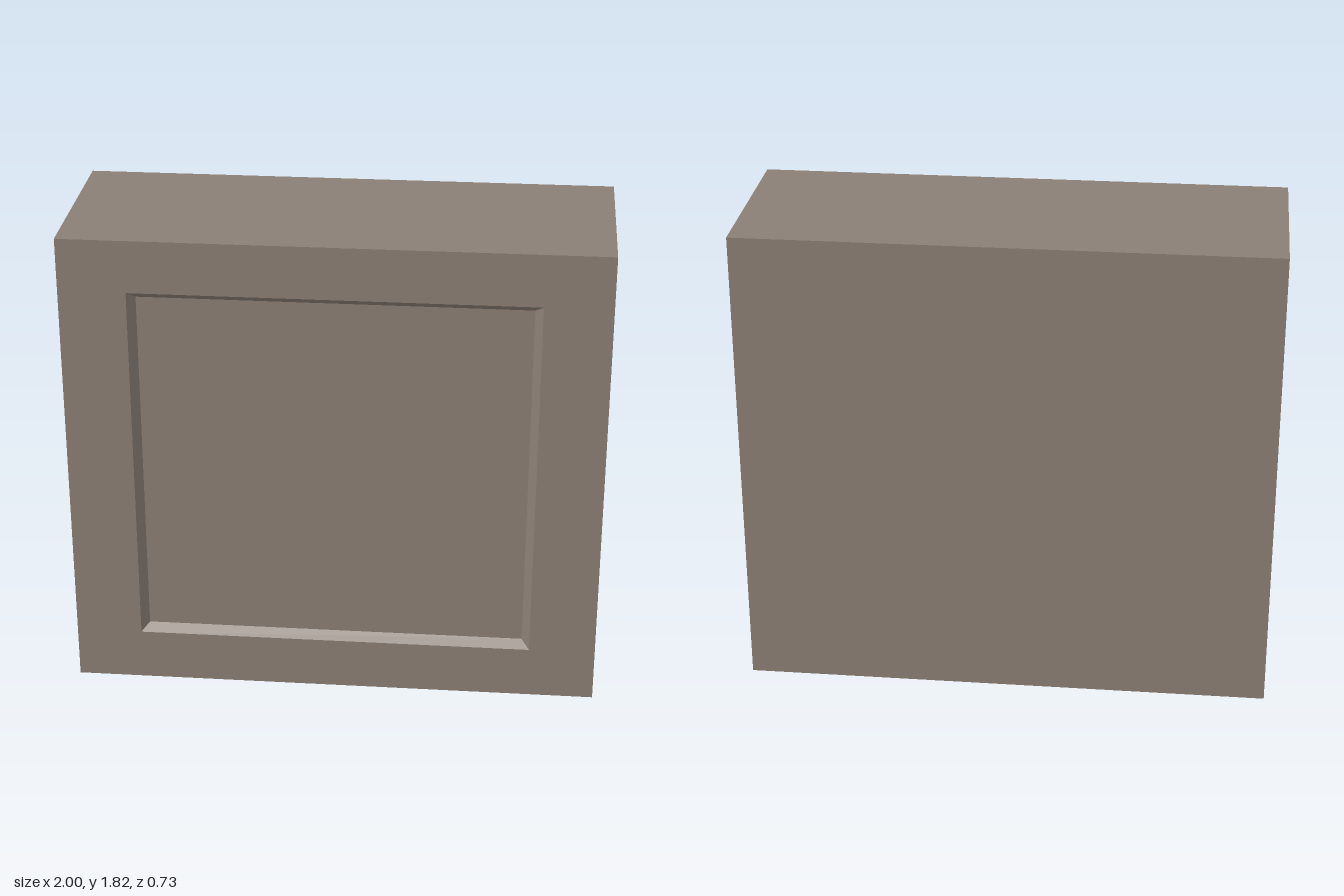
import * as THREE from 'three';

// Rectangular loop of corners, counter-clockwise seen from the front
const loop = (halfW, y0, y1, z) => [[-halfW, y0, z], [halfW, y0, z], [halfW, y1, z], [-halfW, y1, z]];

// Four quads joining one loop to the next
const bridge = (a, b) => a.map((p, i) => [p, a[(i + 1) % 4], b[(i + 1) % 4], b[i]]);

function quadMesh(name, quads, material) {
  const positions = quads.flatMap(([a, b, c, d]) => [a, b, c, a, c, d]).flat();
  const geometry = new THREE.BufferGeometry();
  geometry.setAttribute('position', new THREE.Float32BufferAttribute(positions, 3));
  geometry.computeVertexNormals();
  const mesh = new THREE.Mesh(geometry, material);
  mesh.name = name;
  return mesh;
}

export function createModel() {
  const group = new THREE.Group();
  group.name = 'panelledBlock';
  const material = new THREE.MeshStandardMaterial({ color: 0x8b7f75 });

  const height = 1.82, halfDepth = 0.364, recess = 0.03;
  const back = loop(1, 0, height, -halfDepth);
  const front = loop(1, 0, height, halfDepth);
  const rim = loop(0.75, 0.2, 1.62, halfDepth);
  const floor = loop(0.72, 0.23, 1.595, halfDepth - recess);

  // Back, four sides and the flat border around the front recess
  group.add(quadMesh('body', [[...back].reverse(), ...bridge(back, front), ...bridge(front, rim)], material));
  // Sloped edges leading into the recess
  group.add(quadMesh('recessBevel', bridge(rim, floor), material));
  // Sunken front panel
  group.add(quadMesh('recessPanel', [floor], material));
  return group;
}
